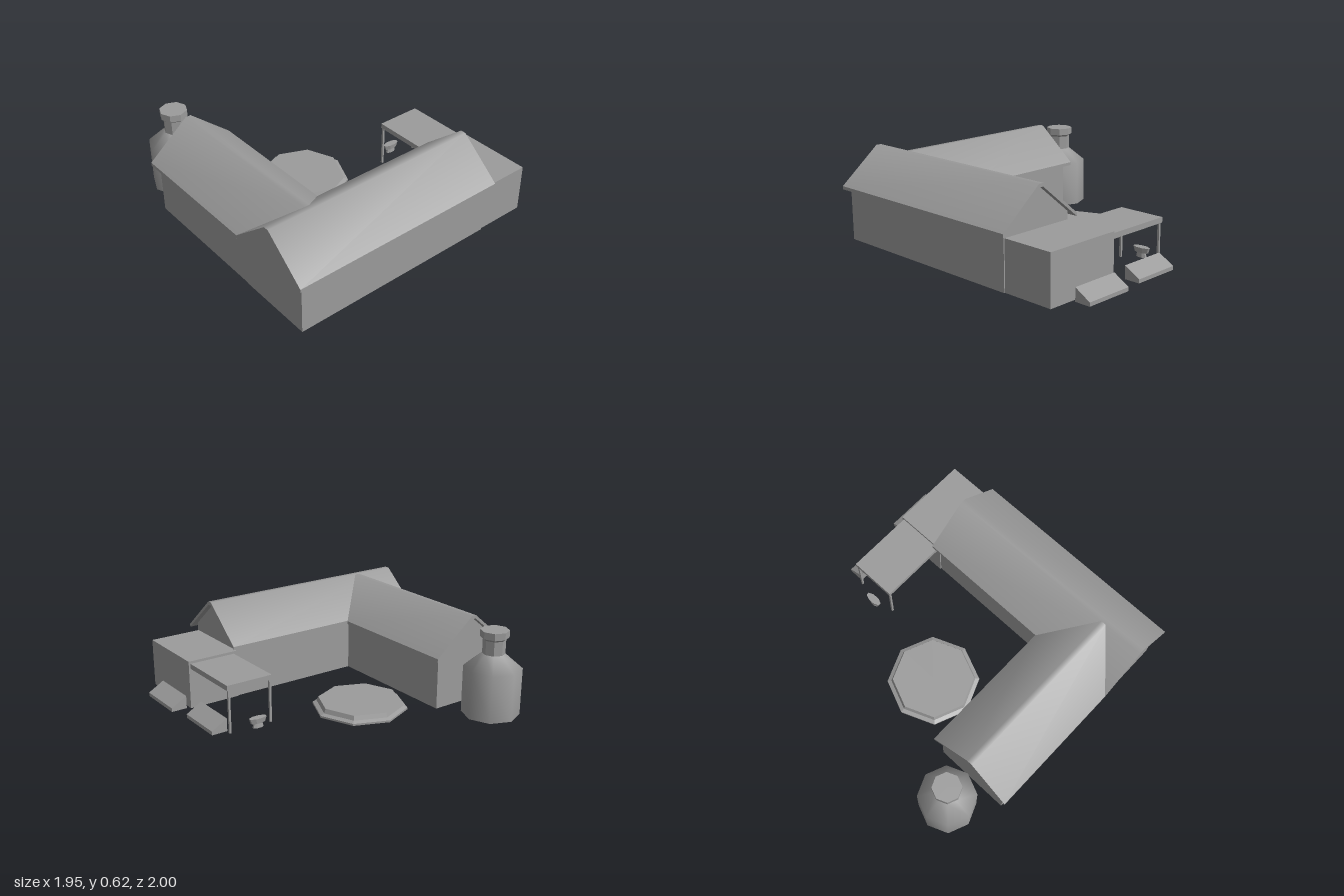
import * as THREE from 'three';
import { toCreasedNormals } from 'three/addons/utils/BufferGeometryUtils.js';

const grey = 0x9b9b9b;
const smooth = new THREE.MeshStandardMaterial({ color: grey, side: THREE.DoubleSide });
const flat = new THREE.MeshStandardMaterial({ color: grey, side: THREE.DoubleSide, flatShading: true });

// Drops the triangles lying on the lowest plane, leaving a shell open below
function openBottom(geometry) {
  const geo = geometry.index ? geometry.toNonIndexed() : geometry;
  geo.computeBoundingBox();
  const low = geo.boundingBox.min.y + 1e-4;
  const p = geo.attributes.position;
  const kept = [];
  for (let i = 0; i < p.count; i += 3) {
    if ([0, 1, 2].every((k) => p.getY(i + k) < low)) continue;
    for (let k = 0; k < 3; k++) kept.push(p.getX(i + k), p.getY(i + k), p.getZ(i + k));
  }
  const out = new THREE.BufferGeometry();
  out.setAttribute('position', new THREE.Float32BufferAttribute(kept, 3));
  out.computeVertexNormals();
  return out;
}

// Extrudes a cross-section (x, y) along z from z0 to z1
function prism(points, z0, z1) {
  const shape = new THREE.Shape(points.map(([x, y]) => new THREE.Vector2(x, y)));
  return new THREE.ExtrudeGeometry(shape, { depth: z1 - z0, bevelEnabled: false }).translate(0, 0, z0);
}

function box(x0, x1, y0, y1, z0, z1) {
  return new THREE.BoxGeometry(x1 - x0, y1 - y0, z1 - z0)
    .translate((x0 + x1) / 2, (y0 + y1) / 2, (z0 + z1) / 2);
}

function lathe(profile, x, z) {
  return new THREE.LatheGeometry(profile.map(([r, y]) => new THREE.Vector2(r, y)), 8).translate(x, 0, z);
}

// Gable cross-sections about x = 0; the walls reach just into the roof slab
const wallSection = [[-0.263, 0.015], [0.263, 0.015], [0.263, 0.4], [0.015, 0.603], [-0.015, 0.603], [-0.263, 0.4]];
const roofSection = [
  [-0.303, 0.362], [-0.015, 0.598], [0.015, 0.598], [0.303, 0.362],
  [0.303, 0.384], [0.018, 0.62], [-0.018, 0.62], [-0.303, 0.384],
];

export function createModel() {
  const model = new THREE.Group();
  const add = (name, geometry, material = flat) => {
    const mesh = new THREE.Mesh(geometry, material);
    mesh.name = name;
    model.add(mesh);
  };

  // Main wing, running front to back
  const mainX = 0.675;
  add('mainWalls', openBottom(prism(wallSection, -0.51, 0.96).translate(mainX, 0, 0)));
  add('mainRoof', toCreasedNormals(prism(roofSection, -0.55, 0.997).translate(mainX, 0, 0), 0.75), smooth);

  // Side wing, turned to run along x and meet the main wing
  const wingZ = 0.694;
  const wallGeo = prism(wallSection, -0.553, 0.412).rotateY(Math.PI / 2).translate(0, 0, wingZ);
  add('sideWalls', openBottom(wallGeo));
  const roofGeo = prism(roofSection, -0.592, 0.66).rotateY(Math.PI / 2).translate(0, -0.002, wingZ);
  // Mitre the inner end of the roof along the valleys
  const p = roofGeo.attributes.position;
  for (let i = 0; i < p.count; i++) {
    if (p.getX(i) > 0) p.setX(i, mainX - Math.abs(p.getZ(i) - wingZ));
  }
  add('sideRoof', toCreasedNormals(roofGeo, 0.75), smooth);

  // Flat-roofed shed and canopy at the back
  add('shed', openBottom(box(0.403, 0.931, 0.015, 0.342, -0.87, -0.51)));
  add('canopy', box(-0.067, 0.403, 0.29, 0.325, -0.857, -0.533));
  for (const z of [-0.543, -0.842]) {
    add('canopyPost', box(-0.062, -0.048, 0, 0.292, z - 0.007, z + 0.007));
  }

  // Sloped troughs behind the shed and canopy
  const troughSection = [[0, 0.015], [0.108, 0.015], [0.108, 0.04], [0, 0.102]];
  for (const [x0, x1, z] of [[0.422, 0.757, -0.892], [-0.047, 0.283, -0.857]]) {
    add('trough', openBottom(prism(troughSection, x0, x1).rotateY(Math.PI / 2).translate(0, 0, z)));
  }

  // Bottle-shaped silo
  const siloX = -0.787, siloZ = 0.692;
  add('siloBody', lathe([[0.19, 0.005], [0.19, 0.325], [0.075, 0.42]], siloX, siloZ), smooth);
  add('siloNeck', lathe([[0.074, 0.415], [0.074, 0.515], [0.094, 0.53], [0.094, 0.577], [0, 0.577]], siloX, siloZ));

  // Low octagonal platform in the yard
  add('yardPlatform', lathe([[0.295, 0.017], [0.315, 0.022], [0.315, 0.035], [0.288, 0.046], [0.277, 0.075], [0, 0.075]], -0.238, 0.037));

  // Small stool beside the canopy
  const top = new THREE.CylinderGeometry(0.064, 0.052, 0.035, 8).rotateY(Math.PI / 8).scale(0.42, 1, 1);
  add('stoolTop', top.translate(-0.108, 0.065, -0.67));
  const foot = new THREE.CylinderGeometry(0.03, 0.04, 0.035, 8).rotateY(Math.PI / 8).scale(0.5, 1, 1);
  add('stoolFoot', foot.translate(-0.108, 0.034, -0.67));

  return model;
}
